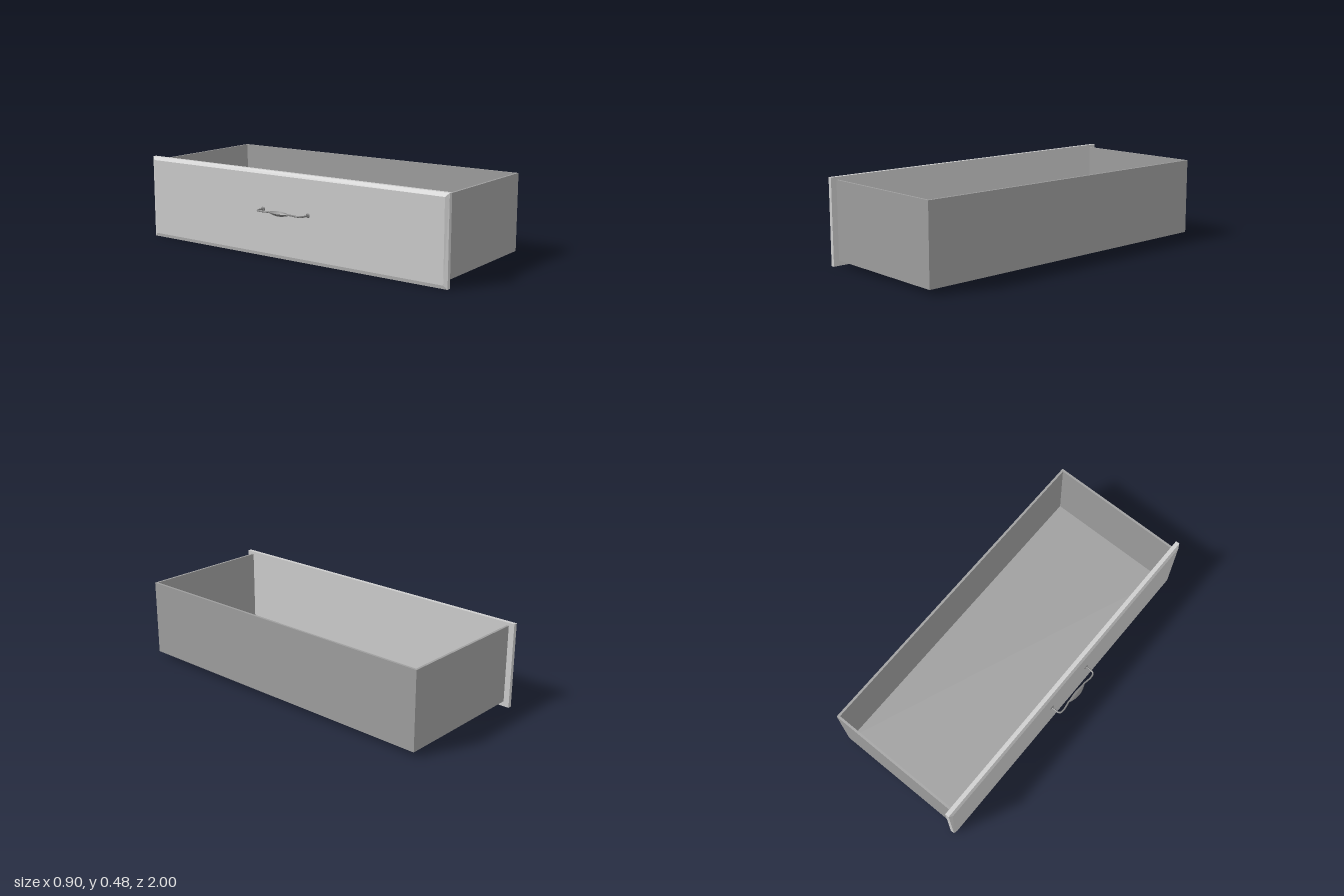
import * as THREE from 'three';

const panelMaterial = new THREE.MeshStandardMaterial({ color: 0xcccccc, flatShading: true });
const boxMaterial = new THREE.MeshStandardMaterial({ color: 0x9d9d9d, flatShading: true });
const handleMaterial = new THREE.MeshStandardMaterial({ color: 0x808080, flatShading: true });

function add(group, name, geometry, material) {
  const mesh = new THREE.Mesh(geometry, material);
  mesh.name = name;
  group.add(mesh);
  return mesh;
}

// Board given by its minimum and maximum corners
function board(group, name, [x0, y0, z0], [x1, y1, z1]) {
  const mesh = add(group, name, new THREE.BoxGeometry(x1 - x0, y1 - y0, z1 - z0), boxMaterial);
  mesh.position.set((x0 + x1) / 2, (y0 + y1) / 2, (z0 + z1) / 2);
}

// Front board: the outer layer of vertices is pulled in to form the bevel
function frontPanelGeometry() {
  const height = 0.481;
  const geo = new THREE.BoxGeometry(2, height, 2, 2, 1, 1);
  const p = geo.attributes.position;
  for (let i = 0; i < p.count; i++) {
    const layer = Math.round(p.getX(i));
    const outer = layer === -1;
    const top = p.getY(i) > 0;
    const x = outer ? (top ? -0.377 : -0.374) : layer === 0 ? -0.366 : -0.343;
    const inset = outer ? 0.02 : 0;
    p.setXYZ(i, x, top ? height - inset : inset, Math.sign(p.getZ(i)) * (1 - inset));
  }
  const flat = geo.toNonIndexed();
  flat.computeVertexNormals();
  return flat;
}

// Bar swept along a horizontal curve; it swells to a diamond-section grip in the middle
function handleGeometry(y) {
  const half = [[-0.37, 0.153], [-0.415, 0.154], [-0.43, 0.147], [-0.435, 0.13],
    [-0.433, 0.1], [-0.428, 0.07], [-0.431, 0.05], [-0.433, 0.025]];
  const points = [...half, [-0.434, 0], ...half.map(([x, z]) => [x, -z]).reverse()]
    .map(([x, z]) => new THREE.Vector3(x, y, z));
  const curve = new THREE.CatmullRomCurve3(points);
  const up = new THREE.Vector3(0, 1, 0);
  const steps = 64, sides = 8, positions = [], index = [];
  for (let i = 0; i <= steps; i++) {
    const c = curve.getPointAt(i / steps);
    const n = up.clone().cross(curve.getTangentAt(i / steps)).normalize();
    const swell = Math.sin(Math.max(0, 1 - Math.abs(c.z) / 0.065) * Math.PI / 2);
    for (let j = 0; j < sides; j++) {
      const a = j / sides * Math.PI * 2;
      const r = (0.005 + 0.01 * swell) * (j % 2 ? 1 - 0.29 * swell : 1);
      const q = c.clone().addScaledVector(n, r * Math.cos(a)).addScaledVector(up, r * Math.sin(a));
      positions.push(q.x, q.y, q.z);
      if (i < steps) {
        const k = i * sides, m = (j + 1) % sides;
        index.push(k + j, k + m, k + sides + j, k + m, k + sides + m, k + sides + j);
      }
    }
  }
  const geo = new THREE.BufferGeometry();
  geo.setAttribute('position', new THREE.Float32BufferAttribute(positions, 3));
  geo.setIndex(index);
  geo.computeVertexNormals();
  return geo;
}

export function createModel() {
  const drawer = new THREE.Group();
  drawer.name = 'drawer';

  // Open-topped box, closed on one side by the front board
  const x0 = -0.343, x1 = 0.447, y0 = 0.029, y1 = 0.465, z = 0.967, t = 0.013;
  add(drawer, 'frontPanel', frontPanelGeometry(), panelMaterial);
  board(drawer, 'backWall', [x1 - t, y0, -z], [x1, y1, z]);
  board(drawer, 'leftWall', [x0, y0, z - t], [x1 - t, y1, z]);
  board(drawer, 'rightWall', [x0, y0, -z], [x1 - t, y1, -z + t]);
  board(drawer, 'floor', [x0, y0 + 0.006, -z + t], [x1 - t, y0 + 0.011, z - t]);

  // Pull handle with a small round plate under each post
  const handle = new THREE.Group();
  handle.name = 'handle';
  const handleY = 0.267;
  add(handle, 'handleBar', handleGeometry(handleY), handleMaterial);
  for (const side of [-1, 1]) {
    const plate = add(handle, 'handlePlate', new THREE.CylinderGeometry(0.009, 0.015, 0.006, 12), handleMaterial);
    plate.rotation.z = Math.PI / 2;
    plate.position.set(-0.377, handleY, side * 0.153);
  }
  drawer.add(handle);
  return drawer;
}
